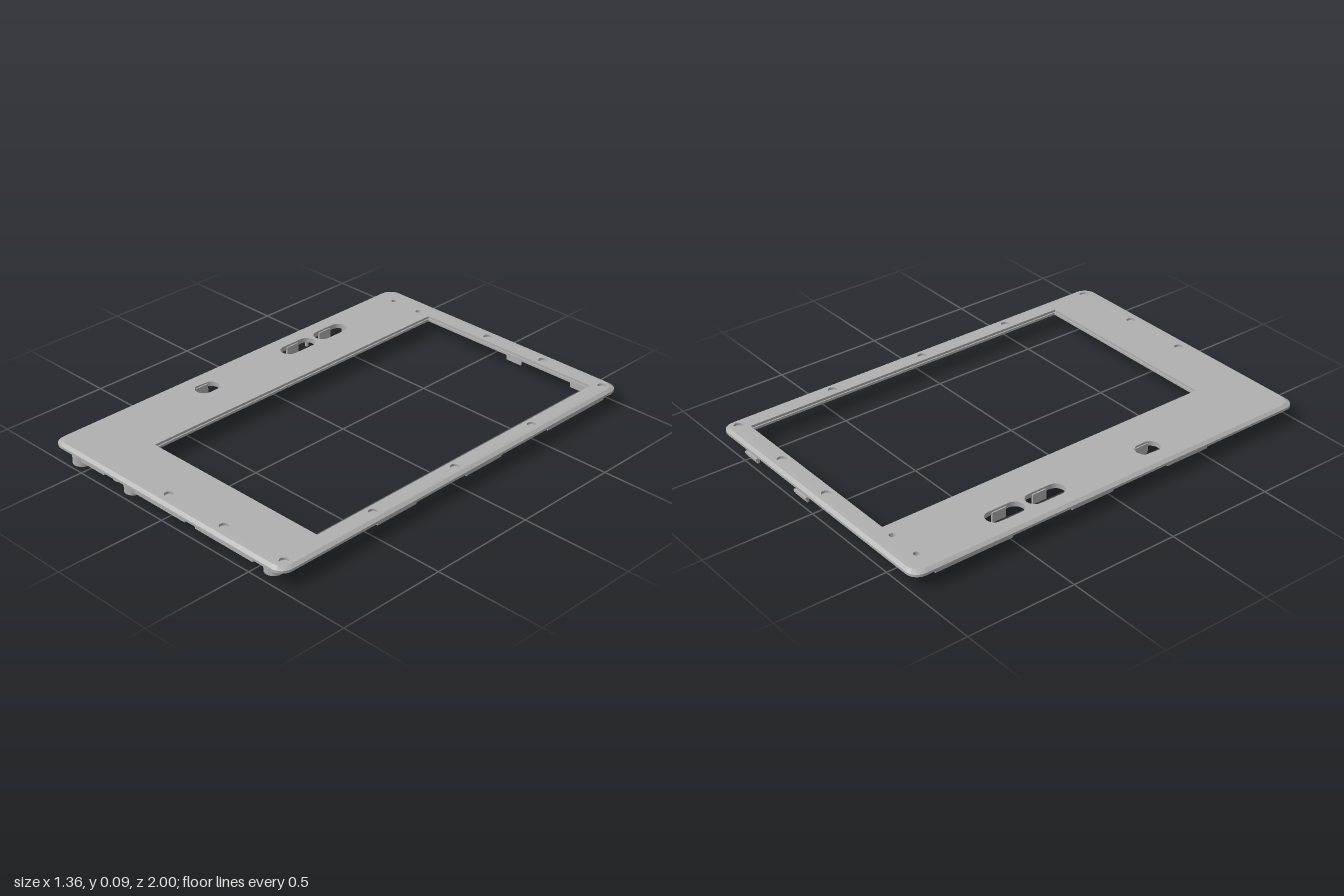
import * as THREE from 'three';
import { toCreasedNormals } from 'three/addons/utils/BufferGeometryUtils.js';

const grey = new THREE.MeshStandardMaterial({ color: 0xb0b0b0 });
grey.name = 'grey plastic';

// Rounded rectangle in plan; the shape's y is -z
function roundRect(target, x0, x1, z0, z1, r) {
  const a = -z1, b = -z0, q = Math.PI / 2;
  target.absarc(x1 - r, b - r, r, 0, q);
  target.absarc(x0 + r, b - r, r, q, 2 * q);
  target.absarc(x0 + r, a + r, r, 2 * q, 3 * q);
  target.absarc(x1 - r, a + r, r, 3 * q, 4 * q);
  target.closePath();
  return target;
}

function circle(x, z, r) {
  return new THREE.Path().absarc(x, -z, r, 0, Math.PI * 2);
}

// Horizontal slab between two heights
function slab(shape, y0, y1) {
  const g = new THREE.ExtrudeGeometry(shape, { depth: y1 - y0, bevelEnabled: false, curveSegments: 8 });
  g.rotateX(-Math.PI / 2);
  g.translate(0, y0, 0);
  return g;
}

const SLOTS = [[-0.57, -0.39], [-0.37, -0.185], [0.205, 0.32]];
const RECESSES = [
  [-0.02, -0.945], [0.3, -0.945], [0.63, -0.945], [0.63, -0.475], [0.63, 0],
  [0.63, 0.47], [0.63, 0.94], [0.3, 0.94], [-0.02, 0.94],
];

// Panel outline with window, slots and pin holes
function panelShape(lip) {
  const s = roundRect(new THREE.Shape(), -0.68, 0.68, -1, 1, 0.055);
  s.holes.push(new THREE.Path([
    [-0.348 + lip, -0.908 + lip], [0.594 - lip, -0.908 + lip],
    [0.594 - lip, 0.734 - lip], [-0.348 + lip, 0.734 - lip],
  ].map(([x, z]) => new THREE.Vector2(x, -z))));
  for (const [z0, z1] of SLOTS) s.holes.push(roundRect(new THREE.Path(), -0.6, -0.52, z0, z1, 0.0395));
  for (const x of [-0.57, -0.415]) s.holes.push(circle(x, -0.91, 0.013));
  return s;
}

export function createModel() {
  const group = new THREE.Group();
  const add = (name, geometry) => {
    const m = new THREE.Mesh(geometry, grey);
    m.name = name;
    group.add(m);
    return m;
  };
  const box = (name, x0, x1, y0, y1, z0, z1) => {
    const m = add(name, new THREE.BoxGeometry(x1 - x0, y1 - y0, z1 - z0));
    m.position.set((x0 + x1) / 2, (y0 + y1) / 2, (z0 + z1) / 2);
  };

  // Lower panel layer closes the shallow round recesses
  add('panelBase', toCreasedNormals(slab(panelShape(0.006), 0.063, 0.074), 0.6));

  // Upper panel layer with recesses and a chamfered outer edge
  const topShape = panelShape(0);
  for (const [x, z] of RECESSES) topShape.holes.push(circle(x, z, 0.02));
  const top = slab(topShape, 0.074, 0.085);
  const p = top.attributes.position;
  for (let i = 0; i < p.count; i++) {
    const x = p.getX(i), z = p.getZ(i);
    if (p.getY(i) > 0.08 && (Math.abs(x) > 0.655 || Math.abs(z) > 0.97)) {
      p.setX(i, x * 0.978);
      p.setZ(i, z * 0.985);
    }
  }
  add('panelTop', toCreasedNormals(top, 0.5));

  // Skirt running round the underside
  const skirt = roundRect(new THREE.Shape(), -0.662, 0.662, -0.982, 0.982, 0.045);
  skirt.holes.push(roundRect(new THREE.Path(), -0.644, 0.644, -0.964, 0.964, 0.03));
  add('skirt', toCreasedNormals(slab(skirt, 0.053, 0.064), 0.6));

  // Snap tabs along the skirt
  for (const [x0, x1] of [[-0.5, -0.355], [-0.17, 0.135], [0.195, 0.52]]) {
    box('frontTab', x0, x1, 0.05, 0.075, 0.97, 0.996);
  }
  for (const [z0, z1] of [[0.27, 0.49], [-0.235, -0.02], [-0.9, -0.53]]) {
    for (const s of [-1, 1]) {
      box('sideTab', s * 0.664 - 0.01, s * 0.664 + 0.01, 0.05, 0.066, z0, z1);
    }
  }

  // Hanging clips on the back edge
  for (const x of [0.122, 0.487]) {
    box('backClip', x - 0.042, x + 0.042, 0, 0.066, -0.972, -0.962);
    box('backClipHook', x - 0.042, x + 0.042, 0.012, 0.024, -0.98, -0.97);
  }

  // Hollow screw posts: x, z, radius, bottom height
  const posts = [
    [-0.565, 0.94, 0.042, 0], [-0.24, 0.94, 0.039, 0.005], [0.575, 0.94, 0.04, 0.015],
    [-0.57, 0.05, 0.04, 0.005], [-0.57, -0.62, 0.04, 0.005],
    [-0.315, 0.935, 0.038, 0.03], [-0.455, 0.27, 0.034, 0.035], [-0.455, -0.475, 0.034, 0.035],
  ];
  for (const [x, z, r, y] of posts) {
    const profile = [[0, 0.06], [r * 0.55, 0.06], [r * 0.55, y], [r, y], [r, 0.066]];
    const g = new THREE.LatheGeometry(profile.map((q) => new THREE.Vector2(...q)), 24);
    add('screwPost', toCreasedNormals(g, 0.6)).position.set(x, 0, z);
  }

  // Side clips and surrounding ribs at each slot
  for (const [z0, z1] of SLOTS) {
    const zc = (z0 + z1) / 2;
    for (const s of [-1, 1]) {
      const x = -0.56 + s * 0.039;
      box('slotClip', x - 0.005, x + 0.005, 0.03, 0.076, zc - 0.034, zc + 0.034);
      box('slotRib', -0.56 + s * 0.058 - 0.004, -0.56 + s * 0.058 + 0.004, 0.052, 0.064, z0, z1);
    }
  }

  // Small locating pins
  for (const [x, z] of [[-0.61, -0.13], [-0.61, -0.38], [-0.61, -0.68], [-0.5, -0.68], [0.655, -0.965]]) {
    const y0 = x > 0 ? 0.045 : 0.03;
    add('pin', new THREE.CylinderGeometry(0.008, 0.008, 0.066 - y0, 12)).position.set(x, (y0 + 0.066) / 2, z);
  }

  // Stiffening ribs under the wide side strip and beside the window
  for (const x of [-0.4, -0.365]) box('longRib', x - 0.004, x + 0.004, 0.055, 0.064, -0.85, 0.35);
  for (const z of [0.35, 0.55, 0.75]) box('crossRib', -0.62, -0.37, 0.055, 0.064, z - 0.004, z + 0.004);
  box('frontRib', -0.2, 0.62, 0.055, 0.064, 0.87, 0.878);
  return group;
}
